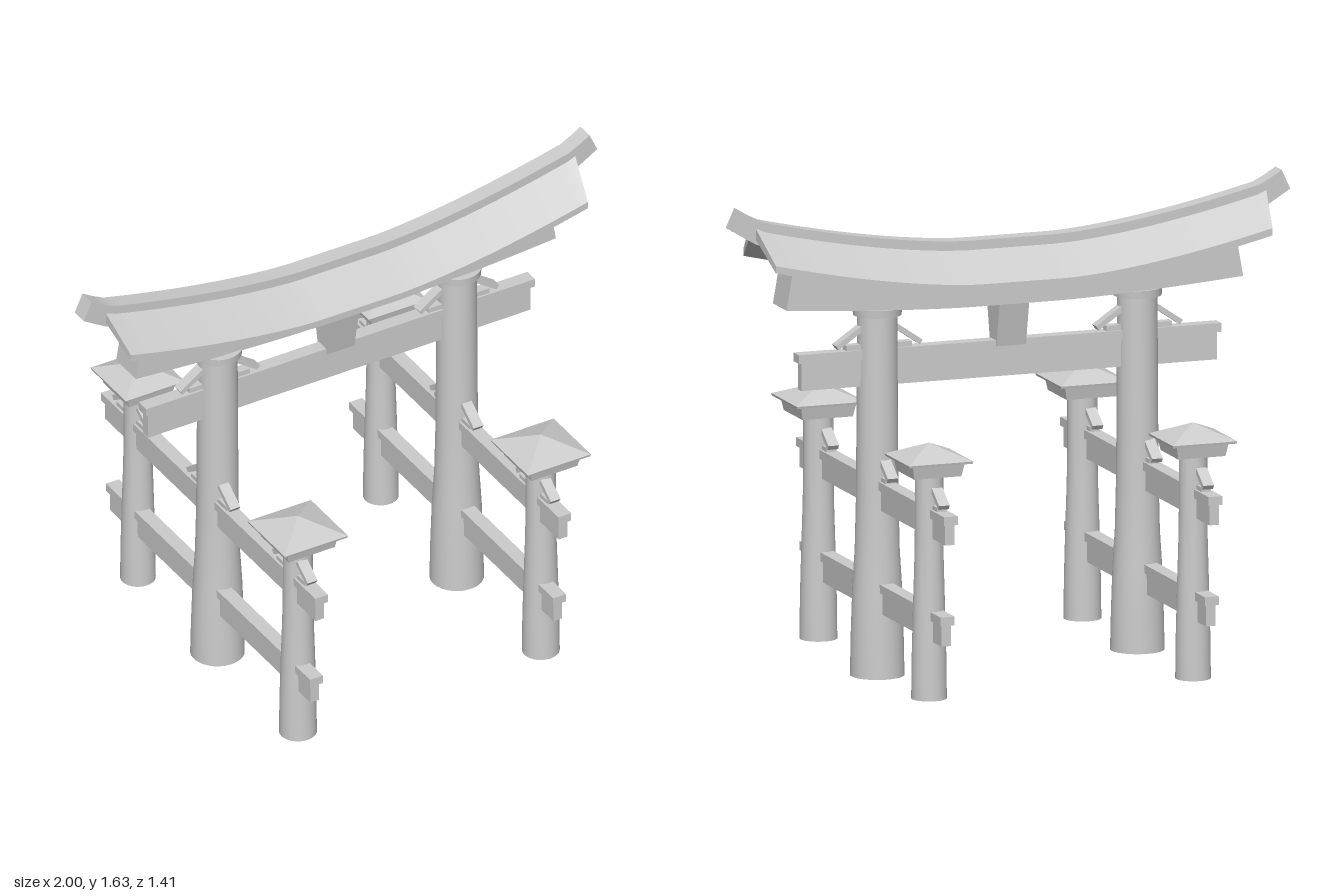
import * as THREE from 'three';
import { toCreasedNormals } from 'three/addons/utils/BufferGeometryUtils.js';

const grey = new THREE.MeshStandardMaterial({ color: 0xcccccc });
const AXIS_Z = -0.02;

function add(parent, name, geometry, x = 0, y = 0, z = 0) {
  const mesh = new THREE.Mesh(geometry, grey);
  mesh.name = name;
  mesh.position.set(x, y, z);
  parent.add(mesh);
  return mesh;
}

const box = (w, h, d) => new THREE.BoxGeometry(w, h, d);

// Upward sweep of the roof: flat in the middle, kicked up at the tips
function lift(x) {
  const a = Math.abs(x);
  return 0.186 * Math.max(0, a - 0.15) ** 1.55 + 0.35 * Math.max(0, a - 0.9);
}

// Sweep a cross-section along x. Each point is [u, y, half length, lift share],
// with u = -z, listed counter-clockwise as seen from +x.
function sweep(section, steps = 48) {
  const n = section.length, pos = [], index = [];
  for (let i = 0; i <= steps; i++) {
    const t = (i / steps) * 2 - 1;
    for (const [u, y, half, share] of section) pos.push(t * half, y + share * lift(t * half), -u);
  }
  for (let i = 0; i < steps; i++) {
    for (let j = 0; j < n; j++) {
      const a = i * n + j, b = i * n + (j + 1) % n;
      index.push(a, b, b + n, a, b + n, a + n);
    }
  }
  const caps = THREE.ShapeUtils.triangulateShape(section.map(([u, y]) => new THREE.Vector2(u, y)), []);
  for (const [a, b, c] of caps) {
    const e = steps * n;
    index.push(e + a, e + b, e + c, c, b, a);
  }
  const g = new THREE.BufferGeometry();
  g.setAttribute('position', new THREE.Float32BufferAttribute(pos, 3));
  g.setIndex(index);
  return toCreasedNormals(g, 0.5);
}

// Round post from [radius, y] pairs, closed at the bottom
function turned(profile) {
  const pts = [[0, profile[0][1]], ...profile, [0, profile.at(-1)[1]]];
  return toCreasedNormals(new THREE.LatheGeometry(pts.map(([r, y]) => new THREE.Vector2(r, y)), 28), 0.6);
}

// Square frustum with given half widths
function frustum(top, bottom, h) {
  const g = new THREE.CylinderGeometry(top * Math.SQRT2, bottom * Math.SQRT2, h, 4, 1);
  return toCreasedNormals(g.rotateY(Math.PI / 4), 0.1);
}

// Pair of slanted wedges leaning on both sides of a post, on top of a beam
function wedgePair(parent, x, y, z, offset, length, alongZ) {
  const pair = new THREE.Group();
  pair.name = 'beamWedges';
  for (const s of [-1, 1]) {
    add(pair, 'slantedWedge', box(length, 0.018, 0.038), s * offset, 0.045, 0).rotation.z = -s * 0.6;
    add(pair, 'wedgeFoot', box(0.06, 0.02, 0.034), s * (offset - 0.015), 0.008, 0);
  }
  pair.position.set(x, y, z);
  if (alongZ) pair.rotation.y = Math.PI / 2;
  parent.add(pair);
}

// Beam with a slightly wider cap strip; length runs along x, or z
function cappedBeam(parent, name, length, bottom, top, x, z, alongZ) {
  const beam = new THREE.Group();
  beam.name = name;
  add(beam, 'beamBody', box(length, top - bottom - 0.01, 0.034), 0, (top + bottom) / 2 - 0.005, 0);
  add(beam, 'beamCap', box(length + 0.024, 0.03, 0.05), 0, top - 0.015, 0);
  beam.position.set(x, 0, z);
  if (alongZ) beam.rotation.y = Math.PI / 2;
  parent.add(beam);
}

// Small outer post with its flared block and pyramid cap
function supportPost(parent, x, z, k) {
  const post = new THREE.Group();
  post.name = 'supportPost';
  add(post, 'postShaft', turned([
    [0.064 * k, 0.02], [0.062 * k, 0.17], [0.058 * k, 0.32], [0.053 * k, 0.48], [0.051 * k, 0.6], [0.051 * k, 0.8],
  ]));
  add(post, 'capBlock', frustum(0.1 * k, 0.09 * k, 0.05), 0, 0.815, 0);
  add(post, 'capEave', frustum(0.123 * k, 0.121 * k, 0.008), 0, 0.84, 0);
  add(post, 'capPyramid', frustum(0.0005, 0.123 * k, 0.051), 0, 0.8695, 0);
  post.position.set(x, 0, z);
  parent.add(post);
}

export function createModel() {
  const gate = new THREE.Group();
  gate.name = 'shrineGate';

  // Curved roof
  const roof = new THREE.Group();
  roof.name = 'roof';
  roof.position.z = AXIS_Z;
  gate.add(roof);
  add(roof, 'roofSlopes', sweep([
    [0, 1.42, 0.92, 1], [0.155, 1.32, 0.89, 1], [0.155, 1.345, 0.89, 1],
    [0, 1.46, 0.92, 1], [-0.155, 1.345, 0.89, 1], [-0.155, 1.32, 0.89, 1],
  ]));
  add(roof, 'ridgeBeam', sweep([
    [-0.03, 1.385, 1, 1], [0.03, 1.385, 1, 1], [0.03, 1.47, 0.97, 1], [-0.03, 1.47, 0.97, 1],
  ]));
  add(roof, 'roofBeam', sweep([
    [-0.065, 1.25, 0.818, 0.36], [0.065, 1.25, 0.818, 0.36],
    [0.065, 1.385, 0.785, 1], [-0.065, 1.385, 0.785, 1],
  ]));

  // Cross beam with the tapered centre strut
  cappedBeam(gate, 'crossBeam', 1.49, 0.995, 1.12, 0, -0.015, false);
  const strut = frustum(0.5, 0.23, 0.17);
  strut.scale(0.106, 1, 0.13);
  const p = strut.attributes.position;
  for (let i = 0; i < p.count; i++) p.setX(i, Math.sign(p.getX(i)) * 0.053);
  strut.computeVertexNormals();
  add(gate, 'centreStrut', strut, -0.002, 1.185, -0.015);

  for (const side of [-1, 1]) {
    // Main pillar and its top disc
    const x = side * 0.466;
    const base = side > 0 ? 0 : 0.02;
    add(gate, 'mainPillar', turned([
      [0.092, base], [0.089, 0.15], [0.084, 0.3], [0.076, 0.43], [0.072, 0.6], [0.07, 0.85], [0.068, 1.24],
    ]), x, 0, -0.013);
    add(gate, 'pillarDisc', turned([[0.082, 1.235], [0.084, 1.262]]), x, 0, -0.013);
    wedgePair(gate, x, 1.12, -0.015, 0.103, 0.115, false);

    // Side beams tying the pillar to its support posts
    const beamX = side > 0 ? 0.462 : -0.485;
    cappedBeam(gate, 'upperSideBeam', 1.39, 0.575, 0.675, beamX, 0, true);
    cappedBeam(gate, 'lowerSideBeam', 1.322, 0.222, 0.325, beamX, 0, true);
    wedgePair(gate, beamX, 0.672, -0.008, 0.103, 0.095, true);

    // Front and back support posts
    for (const [z, k] of [[0.53, 1], [-0.526, 0.94]]) {
      supportPost(gate, side * 0.473, z, k);
      wedgePair(gate, beamX, 0.672, z, 0.078, 0.085, true);
    }
  }
  return gate;
}
